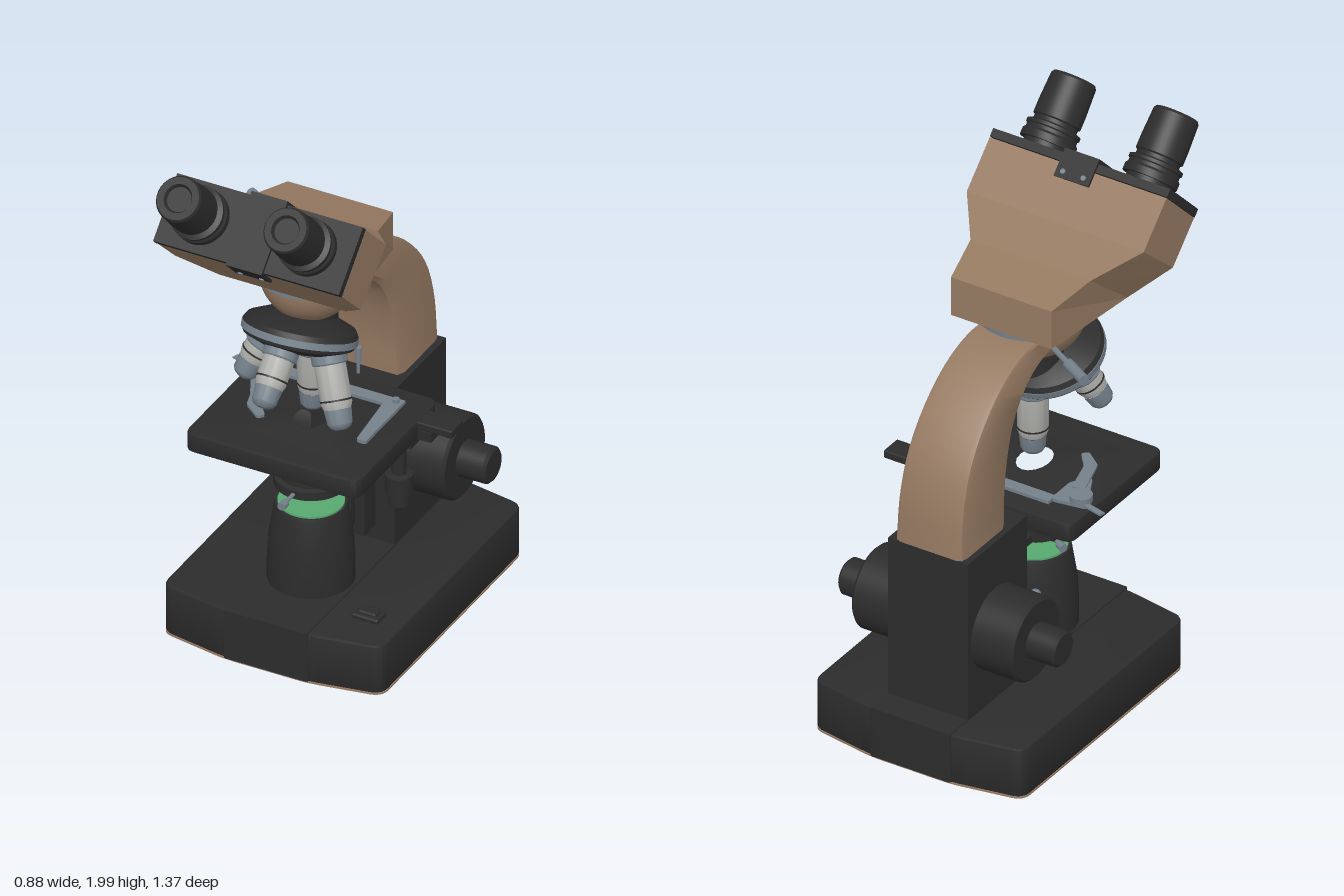
import * as THREE from 'three';
import { toCreasedNormals } from 'three/addons/utils/BufferGeometryUtils.js';
import { RoundedBoxGeometry } from 'three/addons/geometries/RoundedBoxGeometry.js';

const CX = -0.013; // optical axis in x
const AXIS_Z = 0.075; // optical axis in z

const material = (name, color) => {
  const m = new THREE.MeshStandardMaterial({ color });
  m.name = name;
  return m;
};

export function createModel() {
  const black = material('black enamel', 0x2c2c2c);
  const tan = material('tan enamel', 0x967a62);
  const steel = material('blue steel', 0x74808a);
  const silver = material('pale metal', 0xadadaa);
  const green = material('green filter', 0x58a870);
  const model = new THREE.Group();
  model.name = 'microscope';

  const add = (name, geometry, mat, x = 0, y = 0, z = 0, parent = model) => {
    const mesh = new THREE.Mesh(geometry, mat);
    mesh.name = name;
    mesh.position.set(x, y, z);
    parent.add(mesh);
    return mesh;
  };
  const group = (name, x, y, z, rx = 0, parent = model) => {
    const g = new THREE.Group();
    g.name = name;
    g.position.set(x, y, z);
    g.rotation.x = rx;
    parent.add(g);
    return g;
  };
  const box = (w, h, d) => new THREE.BoxGeometry(w, h, d);
  const cyl = (r, h, top = r) => new THREE.CylinderGeometry(top, r, h, 40);
  // Turned part: [radius, height] pairs from bottom to top
  const turned = (pts) => toCreasedNormals(
    new THREE.LatheGeometry(pts.map(([r, y]) => new THREE.Vector2(r, y)), 40), 0.5);

  // Horizontal slab from [x, z] corners, rounded by r, with optional round hole
  const slab = (pts, height, r, bevel = 0, hole = null) => {
    const v = pts.map(([x, z]) => new THREE.Vector2(x, -z));
    const s = new THREE.Shape();
    v.forEach((p, i) => {
      const prev = v[(i + v.length - 1) % v.length], next = v[(i + 1) % v.length];
      const a = p.clone().add(prev.clone().sub(p).setLength(r));
      const b = p.clone().add(next.clone().sub(p).setLength(r));
      if (i) s.lineTo(a.x, a.y); else s.moveTo(a.x, a.y);
      s.quadraticCurveTo(p.x, p.y, b.x, b.y);
    });
    s.closePath();
    if (hole) s.holes.push(new THREE.Path().absellipse(hole[0], -hole[1], hole[2], hole[3], 0, Math.PI * 2, true));
    const g = new THREE.ExtrudeGeometry(s, {
      depth: height - 2 * bevel, bevelEnabled: bevel > 0, bevelSize: bevel,
      bevelOffset: -bevel, bevelThickness: bevel, bevelSegments: 2, curveSegments: 8,
    });
    return toCreasedNormals(g.translate(0, 0, bevel).rotateX(-Math.PI / 2), 0.6);
  };

  // Closed skin through equal-length rings of [x, y, z]; turned outward by its volume
  const loft = (rings, crease) => {
    const tris = [];
    const n = rings[0].length;
    for (let i = 0; i < rings.length - 1; i++) {
      for (let j = 0; j < n; j++) {
        const k = (j + 1) % n, a = rings[i], b = rings[i + 1];
        tris.push([a[j], a[k], b[k]], [a[j], b[k], b[j]]);
      }
    }
    const last = rings[rings.length - 1];
    for (let j = 1; j < n - 1; j++) {
      tris.push([rings[0][0], rings[0][j + 1], rings[0][j]], [last[0], last[j], last[j + 1]]);
    }
    const V = (p) => new THREE.Vector3(...p);
    const volume = tris.reduce((s, [a, b, c]) => s + V(a).dot(V(b).cross(V(c))), 0);
    if (volume < 0) tris.forEach((t) => t.reverse());
    const g = new THREE.BufferGeometry();
    g.setAttribute('position', new THREE.Float32BufferAttribute(tris.flat(2), 3));
    return toCreasedNormals(g, crease);
  };

  // Base with raised middle strip and bottom plate
  const outline = [[-0.425, -0.635], [-0.17, -0.68], [0.145, -0.68], [0.4, -0.635],
    [0.4, 0.35], [0.145, 0.395], [-0.17, 0.395], [-0.425, 0.35]];
  add('base', slab(outline, 0.186, 0.045, 0.008), black, 0, 0.005, 0);
  add('baseBottomPlate', slab(outline, 0.006, 0.045), tan);
  add('baseStrip', slab([[-0.168, -0.685], [0.145, -0.685], [0.145, 0.4], [-0.168, 0.4]], 0.188, 0.005), black, 0, 0.007, 0);
  add('powerSwitchFrame', new RoundedBoxGeometry(0.1, 0.02, 0.07, 2, 0.008), black, 0.27, 0.197, 0.2);
  add('powerSwitch', new RoundedBoxGeometry(0.07, 0.02, 0.04, 2, 0.008), black, 0.27, 0.207, 0.2);

  // Column, focus rack and stop pin
  add('column', box(0.313, 0.61, 0.36), black, CX, 0.497, -0.397);
  add('focusRack', box(0.17, 0.33, 0.08), black, CX, 0.415, -0.178);
  add('rackRail', box(0.1, 0.28, 0.03), black, CX, 0.43, -0.125);
  add('stopPin', cyl(0.006, 0.07), steel, CX, 0.83, -0.255);
  add('stopPinHead', cyl(0.011, 0.055), steel, CX, 0.875, -0.255);

  // Focus knobs, coarse and fine
  const knobs = group('focusKnobs', -0.014, 0.475, -0.41);
  knobs.rotation.z = -Math.PI / 2;
  for (const [name, r, half] of [['coarseKnob', 0.15, 0.317], ['fineKnob', 0.065, 0.425]]) {
    const b = 0.01;
    add(name, turned([[0, -half], [r - b, -half], [r, -half + b], [r, half - b], [r - b, half], [0, half]]), black, 0, 0, 0, knobs);
  }

  // Curved arm between an outer and an inner side curve of [z, y]
  const curve = (pts) => new THREE.CatmullRomCurve3(pts.map(([z, y]) => new THREE.Vector3(0, y, z)));
  const outer = curve([[-0.577, 0.8], [-0.563, 0.97], [-0.515, 1.12], [-0.42, 1.25], [-0.29, 1.35], [-0.15, 1.395], [0, 1.39]]);
  const inner = curve([[-0.302, 0.8], [-0.29, 0.96], [-0.25, 1.12], [-0.2, 1.21], [-0.14, 1.268], [-0.075, 1.302], [0, 1.32]]);
  const armRings = [];
  for (let i = 0; i <= 20; i++) {
    const t = i / 20, o = outer.getPoint(t), n = inner.getPoint(t), w = 0.134 - 0.02 * t;
    const at = (x, k) => {
      const p = o.clone().lerp(n, k);
      return [CX + x * w, p.y, p.z];
    };
    armRings.push([at(-0.82, 0), at(0.82, 0), at(0.95, 0.03), at(1, 0.12), at(1, 0.9), at(0.9, 1),
      at(-0.9, 1), at(-1, 0.9), at(-1, 0.12), at(-0.95, 0.03)]);
  }
  add('arm', loft(armRings, 0.6), tan);

  // Ball socket and head clamp with lever
  add('headSocket', new THREE.SphereGeometry(0.17, 40, 16, 0, Math.PI * 2, Math.PI / 2, Math.PI / 2), tan, CX, 1.405, 0.085);
  add('headClampPlate', cyl(0.196, 0.022), steel, CX, 1.41, 0.07);
  const lever = group('clampLever', -0.19, 1.412, -0.1);
  lever.rotation.y = -0.53;
  for (const [name, r, len, x] of [['leverRod', 0.01, 0.14, -0.05], ['leverGrip', 0.019, 0.115, -0.182]]) {
    add(name, cyl(r, len), steel, x, 0, 0, lever).rotation.z = Math.PI / 2;
  }

  // Head body: [bottom z, bottom y, top z, top y, half width]
  const headRings = [[-0.13, 1.42, -0.13, 1.567, 0.197], [0.275, 1.42, 0.048, 1.605, 0.235],
    [0.378, 1.52, 0.2, 1.675, 0.347], [0.508, 1.645, 0.34, 1.812, 0.347]]
    .map(([bz, by, tz, ty, w]) => [[CX - w, by, bz], [CX + w, by, bz], [CX + w, ty, tz], [CX - w, ty, tz]]);
  add('headBody', loft(headRings, 0.15), tan);

  // Binocular plate, centre bracket and eyepieces
  const binocular = group('binocular', CX, 1.728, 0.424, Math.PI / 4);
  add('eyepiecePlate', box(0.695, 0.03, 0.24), black, 0, 0.018, 0, binocular);
  add('bracketFace', box(0.135, 0.012, 0.262), black, 0, 0.042, 0, binocular);
  for (const s of [-1, 1]) {
    add('bracketFlange', box(0.135, 0.1, 0.01), black, 0, -0.002, s * 0.126, binocular);
    for (const x of [-0.04, 0.04]) {
      add('bracketScrew', cyl(0.009, 0.008), steel, x, -0.03, s * 0.132, binocular).rotation.x = Math.PI / 2;
    }
    const eye = group('eyepiece', s * 0.201, 0, 0, 0, binocular);
    add('eyepieceTube', turned([[0.08, 0.03], [0.08, 0.055], [0.097, 0.055], [0.097, 0.08], [0.09, 0.088],
      [0.09, 0.1], [0.095, 0.104], [0.095, 0.115], [0.077, 0.122], [0.077, 0.135], [0.084, 0.14], [0.084, 0.19],
      [0.08, 0.285], [0.074, 0.294], [0.05, 0.294], [0.043, 0.28], [0, 0.28]]), black, 0, 0, 0, eye);
  }

  // Revolving nosepiece with four objectives
  const TILT = -0.384;
  add('nosepieceNeck', cyl(0.095, 0.09), black, CX, 1.225, 0.085);
  const nose = group('nosepiece', CX, 1.2, 0.153, TILT);
  add('turretTop', turned([[0.195, 0.012], [0.185, 0.03], [0.12, 0.06], [0, 0.065]]), black, 0, 0, 0, nose);
  add('turretRim', cyl(0.197, 0.024), steel, 0, 0, 0, nose);
  add('turretUnderside', turned([[0, -0.05], [0.13, -0.05], [0.188, -0.025], [0.192, -0.01]]), black, 0, 0, 0, nose);
  [0.245, 0.295, 0.3, 0.205].forEach((len, i) => { // front, left, back, right
    const holder = group('objectiveHolder', 0, 0, 0, 0, nose);
    holder.rotation.y = i * Math.PI / 2;
    const lens = group('objective', 0, -0.01, 0.1, TILT, holder);
    add('objectiveCollar', turned([[0.056, -0.075], [0.06, -0.07], [0.06, -0.035], [0.05, -0.02]]), steel, 0, 0, 0, lens);
    const end = -len + 0.07;
    add('objectiveBarrel', turned([[0.046, end], [0.053, end + 0.02], [0.053, -0.075]]), silver, 0, 0, 0, lens);
    add('objectiveBand', cyl(0.0545, 0.006), black, 0, end + 0.03, 0, lens);
    add('objectiveTip', turned([[0, -len], [0.02, -len], [0.034, -len + 0.008], [0.042, -len + 0.02], [0.047, end]]), steel, 0, 0, 0, lens);
  });

  // Stage with hole and side arm
  add('stage', slab([[-0.34, -0.215], [0.31, -0.215], [0.31, 0.355], [-0.34, 0.355]], 0.07, 0.04, 0.005, [CX, AXIS_Z, 0.06, 0.085]), black, 0, 0.747, 0);
  add('stageRib', box(0.5, 0.03, 0.12), black, CX, 0.738, -0.14);
  add('stageBracket', box(0.2, 0.05, 0.14), black, CX, 0.725, -0.17);
  add('stageSideArm', new RoundedBoxGeometry(0.17, 0.03, 0.085, 2, 0.006), black, 0.352, 0.8, -0.108);
  add('stageSideBlock', box(0.07, 0.035, 0.07), black, 0.325, 0.765, -0.1);

  // Slide holder on the stage
  const Y = 0.818;
  add('holderBar', box(0.43, 0.012, 0.045), steel, 0.01, Y + 0.006, -0.118);
  add('holderFixedJaw', slab([[0.16, -0.14], [0.225, -0.14], [0.225, 0.14], [0.19, 0.14]], 0.012, 0.01), steel, 0, Y, 0);
  add('holderPlate', slab([[-0.33, -0.1], [-0.2, -0.12], [-0.2, 0.0], [-0.25, 0.06]], 0.012, 0.015), steel, 0, Y, 0);
  add('holderFinger', slab([[-0.27, -0.02], [-0.225, -0.03], [-0.19, 0.1], [-0.14, 0.16], [-0.16, 0.18], [-0.225, 0.13]], 0.01, 0.01), steel, 0, Y + 0.008, 0);
  add('holderKnob', cyl(0.039, 0.024), steel, -0.29, Y + 0.022, -0.073);
  add('holderLever', box(0.1, 0.006, 0.022), steel, -0.35, Y + 0.012, -0.1).rotation.y = -0.25;
  add('holderScrew', cyl(0.012, 0.02), steel, 0.2, Y + 0.015, -0.12);

  // Hanging stage drive knobs
  const drive = group('stageDrive', 0.228, 0, -0.09);
  add('driveBar', box(0.2, 0.016, 0.06), black, -0.04, 0.712, 0, drive);
  add('driveKnobs', turned([[0, 0.46], [0.036, 0.46], [0.036, 0.505], [0.047, 0.508], [0.047, 0.575], [0.025, 0.58],
    [0.025, 0.69], [0.035, 0.695], [0.035, 0.75]]), black, 0, 0, 0, drive);

  // Condenser with centring screws and iris pin
  const condenser = group('condenser', CX, 0, AXIS_Z);
  add('condenserBody', turned([[0, 0.55], [0.07, 0.55], [0.09, 0.565], [0.126, 0.567], [0.126, 0.598], [0.108, 0.603],
    [0.108, 0.64], [0.095, 0.675], [0.085, 0.692], [0.05, 0.692], [0.045, 0.685], [0, 0.685]]), black, 0, 0, 0, condenser);
  add('condenserFork', box(0.12, 0.03, 0.22), black, 0, 0.582, -0.18, condenser);
  add('irisPin', cyl(0.011, 0.05), black, 0, 0.53, 0, condenser);
  for (const a of [0, 2.1, -2.1]) {
    const screw = group('centringScrew', 0, 0.583, 0, 0, condenser);
    screw.rotation.y = a;
    add('screwRod', cyl(0.007, 0.07), steel, 0, 0, 0.15, screw).rotation.x = Math.PI / 2;
    add('screwHead', cyl(0.014, 0.03), steel, 0, 0, 0.195, screw).rotation.x = Math.PI / 2;
  }
  add('condenserKnob', new THREE.SphereGeometry(0.02, 16, 12), steel, -0.16, 0.455, -0.15);
  add('condenserKnobRod', cyl(0.01, 0.1), black, -0.12, 0.455, -0.15).rotation.z = Math.PI / 2;

  // Lamp housing with green filter
  add('lampHousing', turned([[0.147, 0.19], [0.147, 0.26], [0.142, 0.36], [0.124, 0.475], [0.12, 0.488], [0, 0.488]]), black, CX, 0, AXIS_Z);
  add('greenFilter', cyl(0.112, 0.008), green, CX, 0.491, AXIS_Z);

  return model;
}
